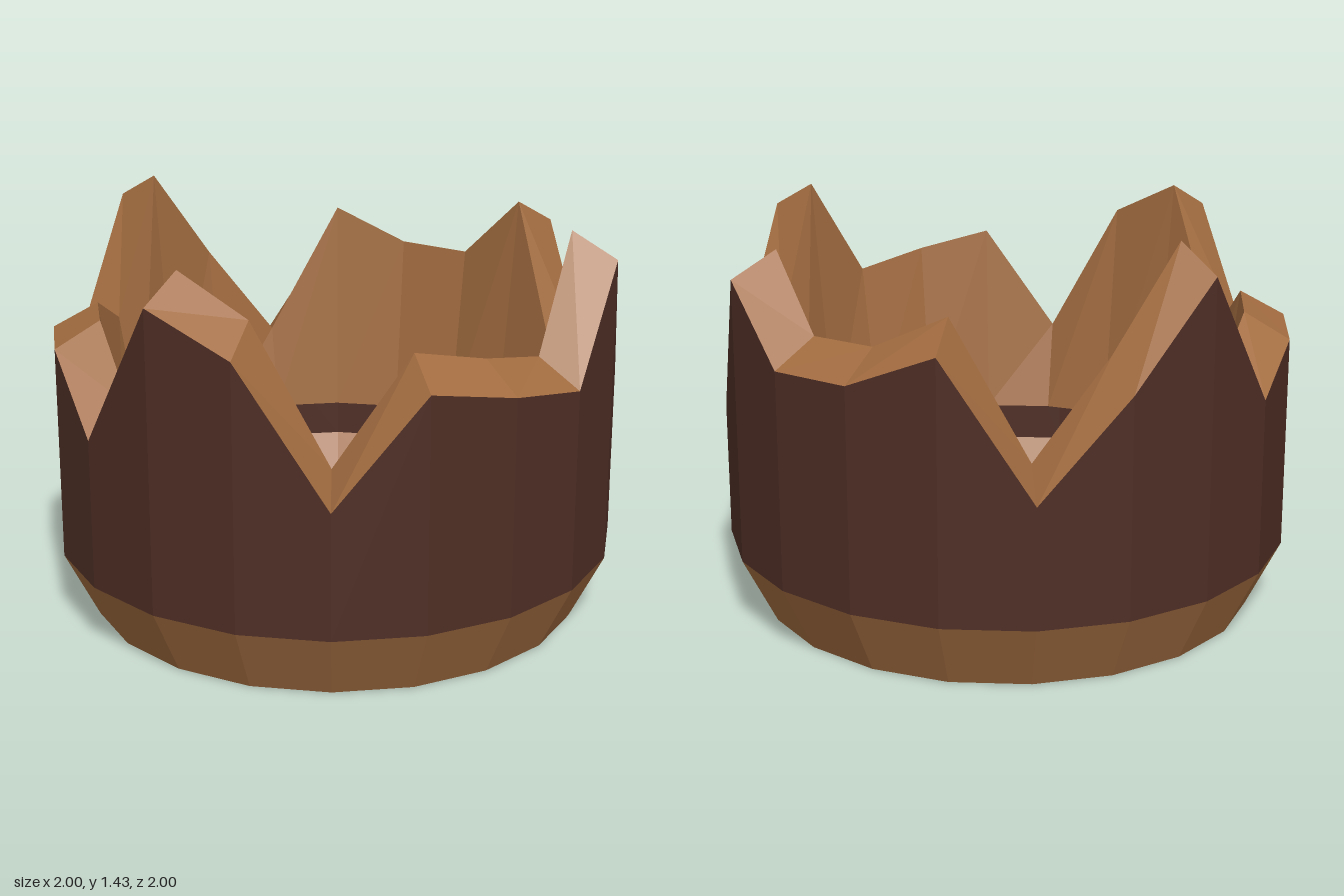
import * as THREE from 'three';

const SIDES = 20;

// Height of the broken edge at each corner, starting at the front and turning towards +x
const EDGE = [
  1.0, 0.95, 1.32, 0.84, 0.715, 1.245, 1.005, 1.015, 1.14, 0.66,
  1.0, 1.34, 0.86, 0.99, 1.0, 0.77, 1.29, 1.16, 0.68, 1.055,
];

// One ring of corners; height is a rule of the corner number
function ring(radius, height) {
  return Array.from({ length: SIDES }, (_, i) => {
    const a = (i / SIDES) * Math.PI * 2;
    return new THREE.Vector3(Math.sin(a) * radius, height(i), Math.cos(a) * radius);
  });
}

// Skin of flat facets joining successive rings
function skin(...rings) {
  const points = [];
  for (let r = 0; r < rings.length - 1; r++) {
    const [lo, up] = [rings[r], rings[r + 1]];
    for (let i = 0; i < SIDES; i++) {
      const j = (i + 1) % SIDES;
      points.push(lo[i], lo[j], up[j], lo[i], up[j], up[i]);
    }
  }
  const geometry = new THREE.BufferGeometry().setFromPoints(points);
  geometry.computeVertexNormals();
  return geometry;
}

function material(name, color) {
  const m = new THREE.MeshStandardMaterial({ color, flatShading: true, side: THREE.DoubleSide });
  m.name = name;
  return m;
}

export function createModel() {
  const bark = material('dark bark', 0x4e2e25);
  const wood = material('light wood', 0xa26c40);

  const foot = ring(0.88, () => 0);
  const bandTop = ring(1, () => 0.24);
  const outerEdge = ring(1, (i) => EDGE[i]);
  const innerEdge = ring(0.84, (i) => EDGE[i] + 0.09);
  const innerBottom = ring(0.76, () => 0.45);

  const group = new THREE.Group();
  group.name = 'hollowStump';
  const add = (name, geometry, mat) => {
    const mesh = new THREE.Mesh(geometry, mat);
    mesh.name = name;
    group.add(mesh);
  };

  // Tapered band at the foot
  add('baseBand', skin(foot, bandTop), wood);
  // Outer bark with its jagged top
  add('barkWall', skin(bandTop, outerEdge), bark);
  // Broken rim and the open-ended lining of the hollow
  add('brokenRim', skin(outerEdge, innerEdge), wood);
  add('innerWall', skin(innerEdge, innerBottom), wood);
  // Bottom disc, also seen as the floor of the hollow
  add('floor', new THREE.CircleGeometry(0.88, SIDES).rotateX(Math.PI / 2), bark);

  return group;
}
